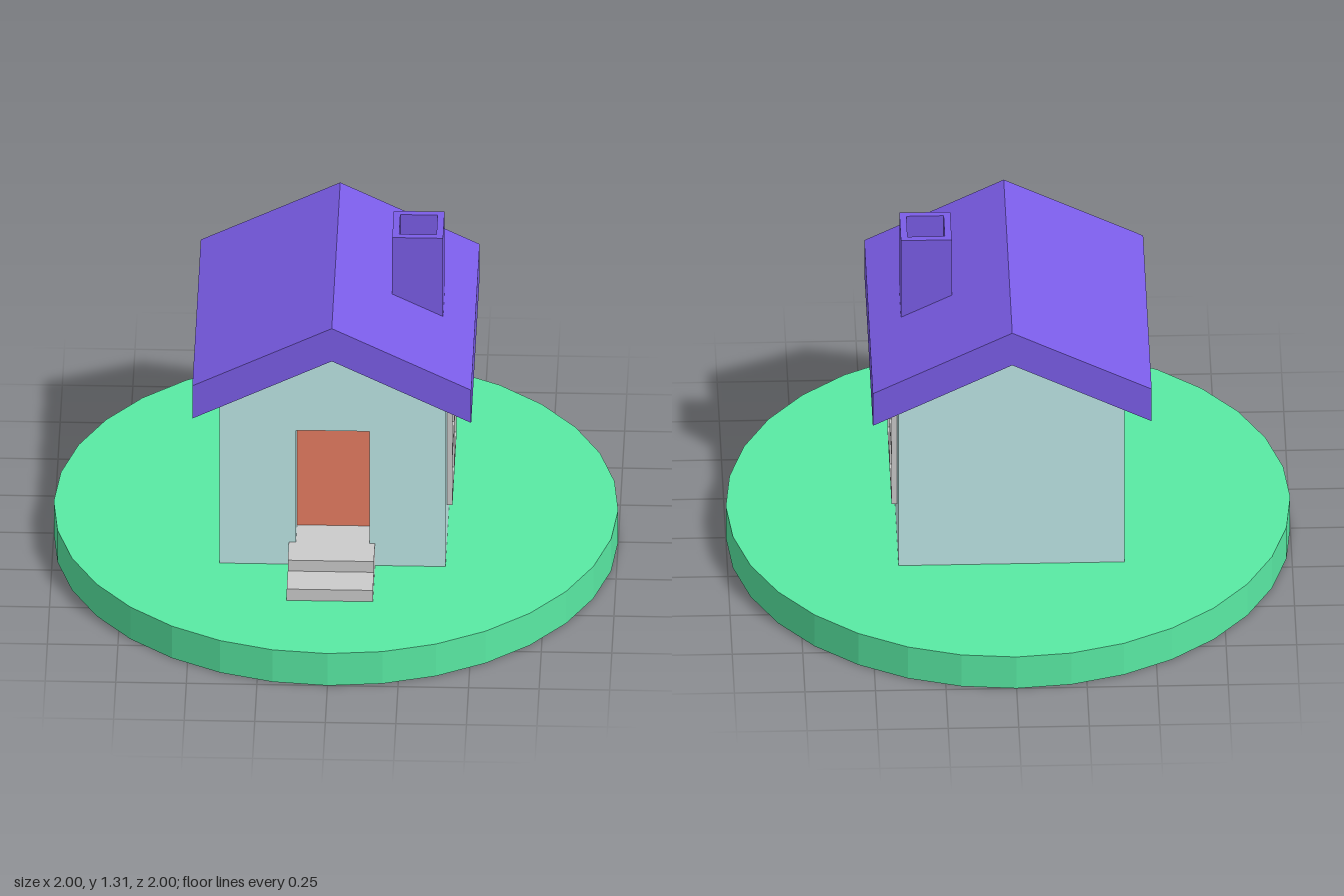
import * as THREE from 'three';

const paint = (color) => new THREE.MeshStandardMaterial({ color, flatShading: true });

function polygon(points) {
  return new THREE.Shape(points.map(([x, y]) => new THREE.Vector2(x, y)));
}

function rect(x0, y0, x1, y1) {
  return polygon([[x0, y0], [x1, y0], [x1, y1], [x0, y1]]);
}

// Extrude a shape in the xy plane from z0 to z1
function slab(shape, z0, z1) {
  const geo = new THREE.ExtrudeGeometry(shape, { depth: z1 - z0, bevelEnabled: false });
  return geo.translate(0, 0, z0);
}

// Box given by its limits on each axis
function block(x0, x1, y0, y1, z0, z1) {
  const geo = new THREE.BoxGeometry(x1 - x0, y1 - y0, z1 - z0);
  return geo.translate((x0 + x1) / 2, (y0 + y1) / 2, (z0 + z1) / 2);
}

export function createModel() {
  const model = new THREE.Group();
  const grass = paint(0x59eaa4);
  const wall = paint(0xbfe9e8);
  const purple = paint(0x7b5de8);
  const red = paint(0xe87e62);
  const grey = paint(0xcccccc);

  const add = (name, geometry, material, parent = model) => {
    const mesh = new THREE.Mesh(geometry, material);
    mesh.name = name;
    parent.add(mesh);
    return mesh;
  };
  const group = (name) => {
    const g = new THREE.Group();
    g.name = name;
    model.add(g);
    return g;
  };

  const ground = 0.133;
  const doorZ = 0.28;

  // Round lawn
  add('lawn', new THREE.CylinderGeometry(1, 1, ground, 32).translate(0, ground / 2, 0), grass);

  // Gabled house body; the front part has the doorway cut through it
  const gable = () => polygon([[-0.4, ground], [0.4, ground], [0.4, 0.837], [0, 1.037], [-0.4, 0.837]]);
  const front = gable();
  front.holes.push(rect(-0.13, 0.18, 0.13, 0.69));
  const walls = group('walls');
  add('houseBody', slab(gable(), -0.4, doorZ), wall, walls);
  add('frontWall', slab(front, doorZ, 0.4), wall, walls);

  // Door set back in the doorway
  add('door', block(-0.13, 0.13, 0.18, 0.69, doorZ - 0.03, doorZ + 0.003), red);

  // Two steps, the upper one running in to the door
  const steps = group('steps');
  add('lowerStep', block(-0.155, 0.15, ground, 0.18, 0.39, 0.645), grey, steps);
  add('upperStep', block(-0.155, 0.15, ground, 0.225, doorZ, 0.523), grey, steps);

  // Roof with an even chevron section
  const w = 0.494;
  add('roof', slab(polygon([
    [-w, 0.79], [0, 1.037], [w, 0.79], [w, 0.926], [0, 1.173], [-w, 0.926],
  ]), -w, w), purple);

  // Chimney with a shallow opening
  const chimney = group('chimney');
  const stack = rect(0.202, -0.09, 0.382, 0.09);
  stack.holes.push(rect(0.226, -0.066, 0.358, 0.066));
  add('chimneyStack', slab(stack, 0.95, 1.307).rotateX(-Math.PI / 2), purple, chimney);
  add('chimneyFloor', block(0.226, 0.358, 1.0, 1.2, -0.066, 0.066), purple, chimney);

  // Four-pane window frame on the left wall
  const frame = rect(-0.243, 0.292, 0.243, 0.684);
  for (const x of [-0.227, 0.009]) {
    for (const y of [0.307, 0.497]) {
      frame.holes.push(rect(x, y, x + 0.218, y + 0.173));
    }
  }
  add('windowFrame', slab(frame, 0.39, 0.42).rotateY(Math.PI / 2), grey);

  return model;
}
